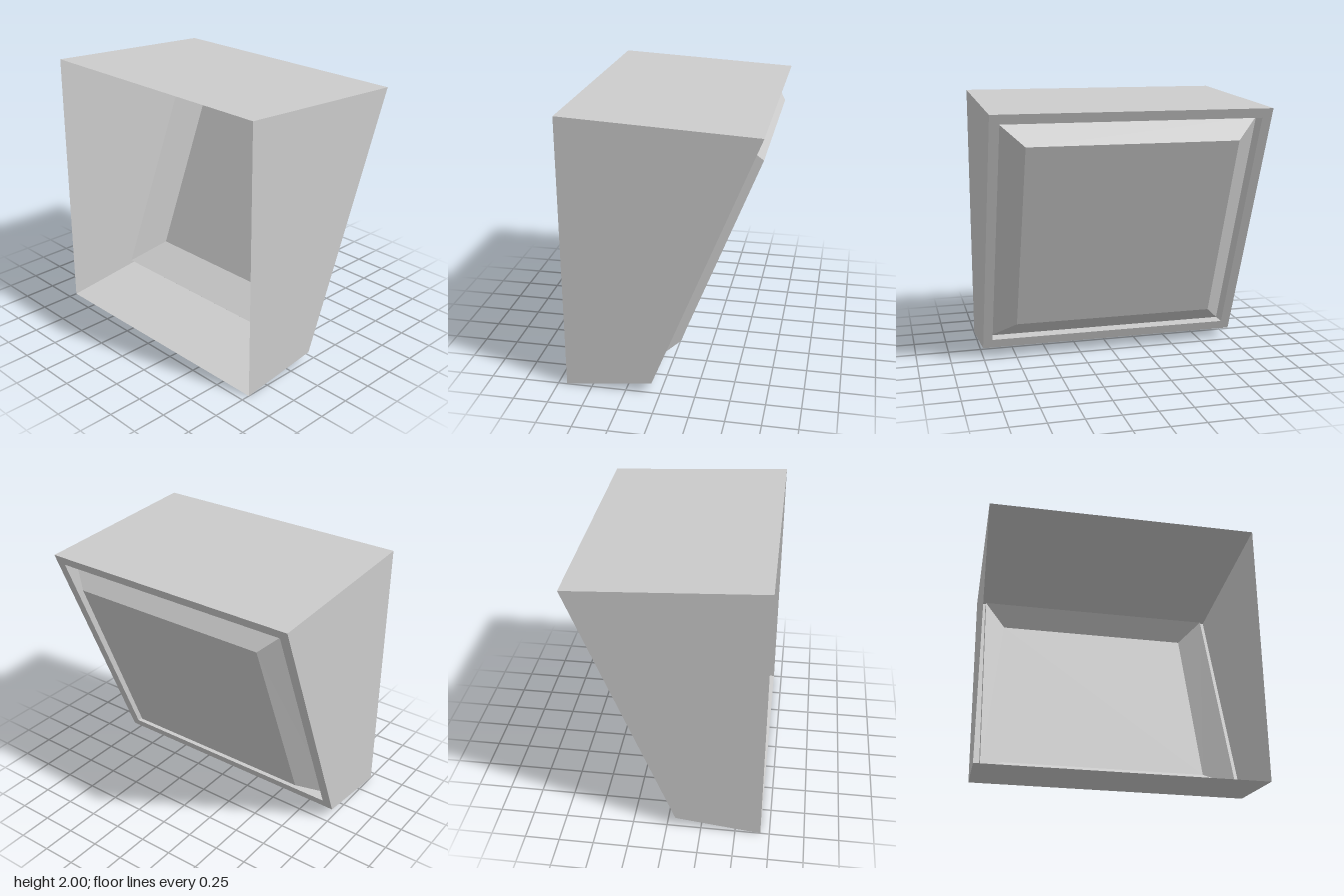
import * as THREE from 'three';

const material = new THREE.MeshStandardMaterial({
  color: 0xcccccc, flatShading: true, side: THREE.DoubleSide,
});

// Rectangular ring leaning in x: lower edge, upper edge and half width in z.
// Corners run counter-clockwise as seen from +x.
const ring = (xLow, yLow, xHigh, yHigh, halfZ) => [
  [xLow, yLow, halfZ], [xLow, yLow, -halfZ], [xHigh, yHigh, -halfZ], [xHigh, yHigh, halfZ],
];

const quad = (a, b, c, d) => [a, b, c, a, c, d].flat();

// Four walls joining a ring to the next one.
function walls(from, to) {
  return from.flatMap((corner, i) => {
    const j = (i + 1) % 4;
    return quad(corner, from[j], to[j], to[i]);
  });
}

function addPart(group, name, positions) {
  const geometry = new THREE.BufferGeometry();
  geometry.setAttribute('position', new THREE.Float32BufferAttribute(positions, 3));
  geometry.computeVertexNormals();
  const mesh = new THREE.Mesh(geometry, material);
  mesh.name = name;
  group.add(mesh);
}

export function createModel() {
  const group = new THREE.Group();
  group.name = 'slantedHousing';

  const back = ring(-0.685, 0, -0.685, 2, 1);
  const rim = ring(-0.062, 0.075, 0.682, 1.928, 1);
  const opening = ring(-0.034, 0.145, 0.655, 1.86, 0.93);
  const recess = ring(-0.146, 0.145, 0.543, 1.86, 0.93);
  const screen = ring(0.103, 0.3, 0.66, 1.705, 0.76);

  // Hollow shell, open at the back
  addPart(group, 'housing', walls(back, rim));
  // Narrow border round the slanted opening
  addPart(group, 'frontFrame', walls(rim, opening));
  // Groove behind the border
  addPart(group, 'recessWalls', walls(opening, recess));
  // Bevelled panel rising out of the groove
  addPart(group, 'panelBevel', walls(recess, screen));
  addPart(group, 'panelFace', quad(...screen));

  return group;
}
